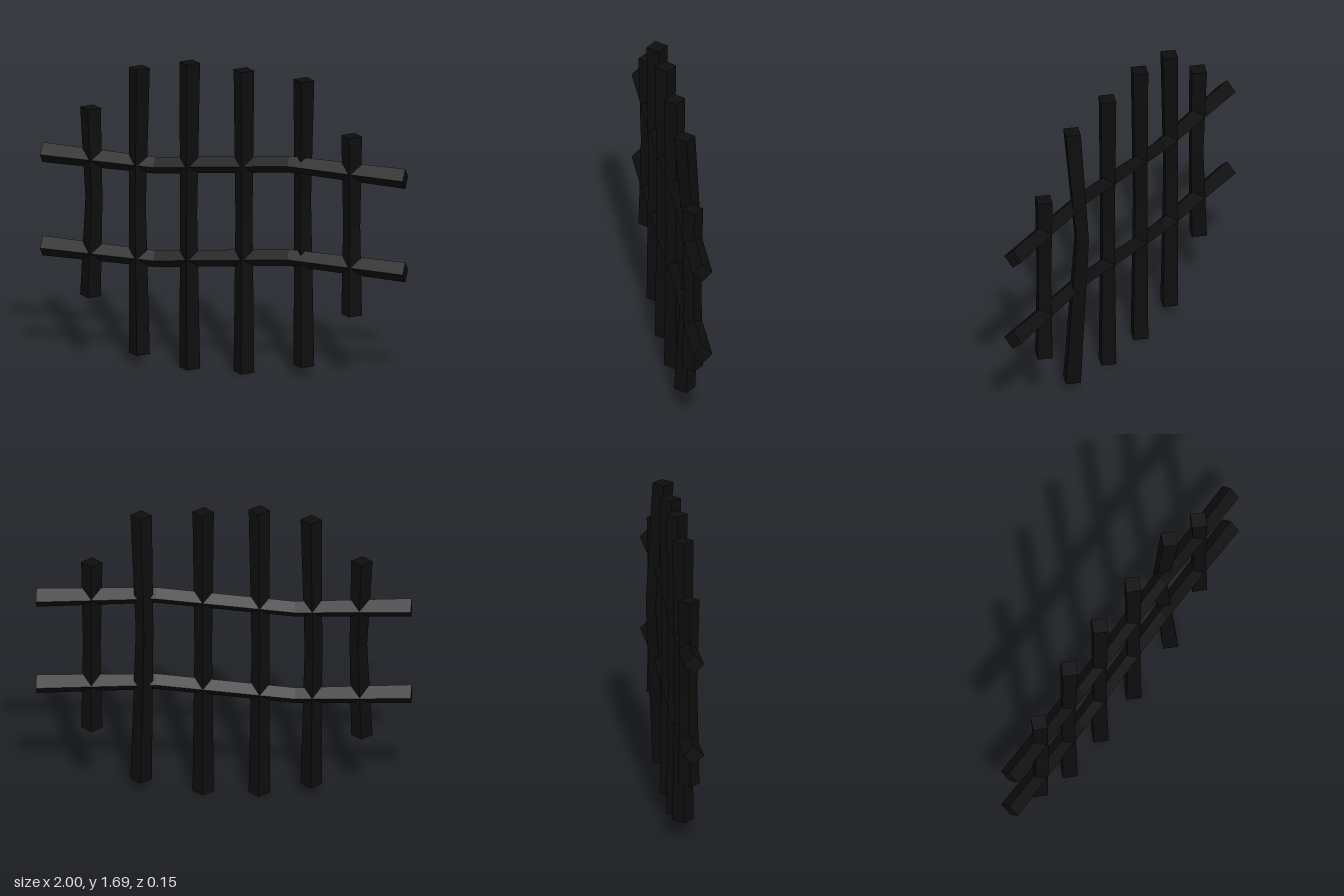
import * as THREE from 'three';

// Diamond-section bar through nodes [x, y, z, half diagonal], running along +x or +y
function barGeometry(nodes, horizontal) {
  const pos = [], idx = [], n = nodes.length;
  for (const [x, y, z, r] of nodes) {
    for (let j = 0; j < 4; j++) {
      const u = r * Math.round(Math.cos(j * Math.PI / 2));
      const v = r * Math.round(Math.sin(j * Math.PI / 2));
      if (horizontal) pos.push(x, y + u, z + v);
      else pos.push(x + v, y, z + u);
    }
  }
  for (let i = 0; i < n - 1; i++) {
    for (let j = 0; j < 4; j++) {
      const a = i * 4 + j, b = i * 4 + (j + 1) % 4;
      idx.push(a, b, a + 4, b, b + 4, a + 4);
    }
  }
  // end caps
  const e = (n - 1) * 4;
  idx.push(0, 2, 1, 0, 3, 2, e, e + 1, e + 2, e, e + 2, e + 3);
  const g = new THREE.BufferGeometry();
  g.setAttribute('position', new THREE.Float32BufferAttribute(pos, 3));
  g.setIndex(idx);
  const flat = g.toNonIndexed();
  flat.computeVertexNormals();
  return flat;
}

export function createModel() {
  const group = new THREE.Group();
  group.name = 'barredGrate';
  const iron = new THREE.MeshStandardMaterial({ color: 0x0d0d0d, flatShading: true });
  iron.name = 'black iron';

  const add = (name, nodes, horizontal) => {
    const mesh = new THREE.Mesh(barGeometry(nodes, horizontal), iron);
    mesh.name = name;
    group.add(mesh);
  };

  // Upright bars: end x, bottom y, top y, middle x, middle z, middle y
  const uprights = [
    [-0.735, 0.36, 1.40, -0.716, 0.022, 0.90],
    [-0.465, 0.06, 1.64, -0.477, 0.022, 0.88],
    [-0.188, 0.00, 1.69, -0.194, 0.022, 0.85],
    [0.111, 0.00, 1.67, 0.111, 0.022, 0.85],
    [0.442, 0.06, 1.64, 0.421, -0.026, 0.97],
    [0.705, 0.36, 1.35, 0.705, 0.022, 0.85],
  ];
  uprights.forEach(([x, y0, y1, mx, mz, my], i) => {
    add('uprightBar' + (i + 1), [
      [x, y0, 0.022, 0.057],
      [mx, my, mz, 0.047],
      [x, y1, 0.022, 0.057],
    ], false);
  });

  // Two wavy cross bars
  [['lowerCrossBar', 0.615], ['upperCrossBar', 1.132]].forEach(([name, y]) => {
    add(name, [
      [-1, y, 0.018, 0.055],
      [-0.38, y - 0.027, 0.018, 0.046],
      [0.36, y + 0.034, 0.018, 0.046],
      [1, y, 0.018, 0.055],
    ], true);
  });

  return group;
}
